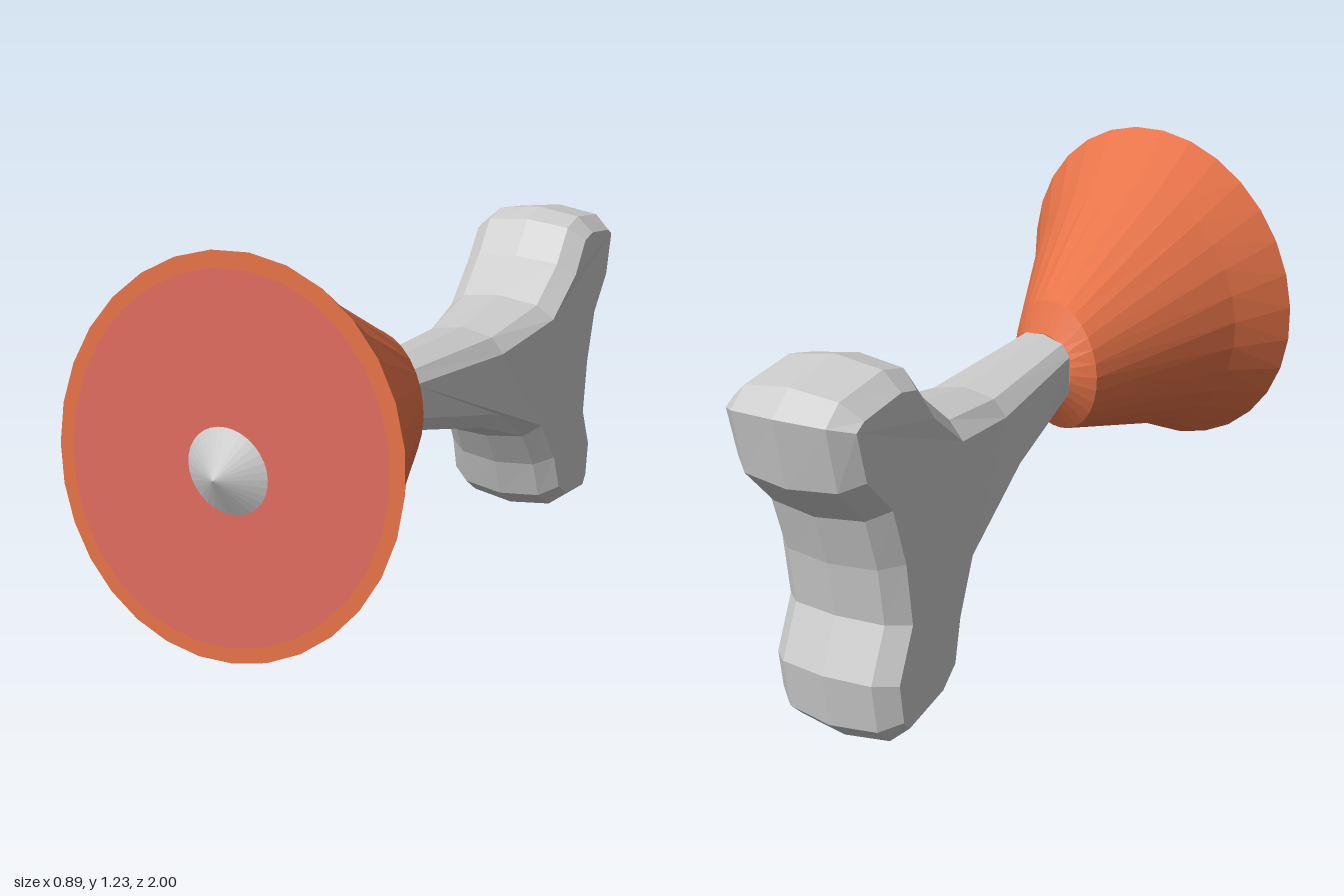
import * as THREE from 'three';

const mat = (color, side = THREE.FrontSide) =>
  new THREE.MeshStandardMaterial({ color, flatShading: true, side });

function geometryFrom(positions, index) {
  const g = new THREE.BufferGeometry();
  g.setAttribute('position', new THREE.Float32BufferAttribute(positions, 3));
  g.setIndex(index);
  const flat = g.toNonIndexed();
  flat.computeVertexNormals();
  return flat;
}

// Side outline of the bone as [z, y]: top of the shaft, rear, then back along the underside
const OUTLINE = [
  [0.28, 0.765], [-0.23, 0.725], [-0.48, 0.75], [-0.60, 0.84], [-0.68, 0.935],
  [-0.77, 0.955], [-0.94, 0.925], [-1.0, 0.87], [-0.965, 0.70], [-0.87, 0.60],
  [-0.83, 0.47], [-0.81, 0.33], [-0.87, 0.20], [-0.85, 0.06], [-0.79, 0.003],
  [-0.60, 0.035], [-0.515, 0.10], [-0.475, 0.22], [-0.41, 0.33], [-0.18, 0.435], [0.28, 0.59],
].map(([z, y]) => new THREE.Vector2(z, y));

// Half width of the bone along its length
function halfWidth(z) {
  const keys = [[-1, 0.175], [-0.58, 0.177], [-0.24, 0.127], [0.3, 0.088]];
  for (let i = 1; i < keys.length; i++) {
    const [z0, w0] = keys[i - 1], [z1, w1] = keys[i];
    if (z <= z1) return THREE.MathUtils.mapLinear(z, z0, z1, w0, w1);
  }
  return 0.088;
}

function inset(points, d) {
  const n = points.length;
  return points.map((p, i) => {
    const t = points[(i + 1) % n].clone().sub(p).normalize()
      .add(p.clone().sub(points[(i + n - 1) % n]).normalize()).normalize();
    return new THREE.Vector2(p.x - t.y * d, p.y + t.x * d);
  });
}

// Bevelled slab: inset outlines stacked from one flank to the other
function boneGeometry() {
  const layers = [[-1, 0.062], [-0.72, 0.018], [0, 0], [0.72, 0.018], [1, 0.062]];
  const n = OUTLINE.length, pos = [], idx = [];
  for (const [f, d] of layers)
    for (const p of inset(OUTLINE, d)) pos.push(0.013 + f * halfWidth(p.x), p.y, p.x);
  for (let k = 0; k < layers.length - 1; k++)
    for (let i = 0; i < n; i++) {
      const j = (i + 1) % n, a = k * n, b = a + n;
      idx.push(a + i, b + i, b + j, a + i, b + j, a + j);
    }
  const last = (layers.length - 1) * n;
  for (const [a, b, c] of THREE.ShapeUtils.triangulateShape(inset(OUTLINE, 0.062), []))
    idx.push(a, b, c, last + a, last + c, last + b);
  return geometryFrom(pos, idx);
}

// Skin over tilted elliptical rings: centre, sideways axis, upward axis
const SIDES = 30;
function ringLoft(rings) {
  const pos = [], idx = [];
  for (const [c, u, v] of rings)
    for (let i = 0; i < SIDES; i++) {
      const t = (i / SIDES) * Math.PI * 2, co = Math.cos(t), si = Math.sin(t);
      for (let k = 0; k < 3; k++) pos.push(c[k] + u[k] * co + v[k] * si);
    }
  for (let r = 0; r < rings.length - 1; r++)
    for (let i = 0; i < SIDES; i++) {
      const j = (i + 1) % SIDES, a = r * SIDES, b = a + SIDES;
      idx.push(a + i, a + j, b + j, a + i, b + j, b + i);
    }
  return geometryFrom(pos, idx);
}

export function createModel() {
  const group = new THREE.Group();
  const add = (name, geometry, material) => {
    const mesh = new THREE.Mesh(geometry, material);
    mesh.name = name;
    group.add(mesh);
    return mesh;
  };

  add('bone', boneGeometry(), mat(0xcccccc));

  // Flared cup around the end of the shaft, from its small end to the mouth rim
  const mouth = [[0, 0.745, 0.942], [0.443, 0.025, 0], [0.045, 0.488, 0]];
  const scaled = (s) => [mouth[0], mouth[1].map((k) => k * s), mouth[2].map((k) => k * s)];
  const orange = mat(0xe87449, THREE.DoubleSide);
  add('cup', ringLoft([
    scaled(0.92),
    mouth,
    [[0, 0.722, 0.745], [0.342, 0.015, 0], [0.02, 0.387, -0.02]],
    [[0, 0.657, 0.245], [0.157, 0, 0.05], [0, 0.19, -0.015]],
    [[0.01, 0.66, 0.195], [0.1, 0, 0.03], [0, 0.1, 0]],
    [[0.01, 0.66, 0.2], [0, 0, 0], [0, 0, 0]],
  ].reverse()), orange);

  // Flat face closing the mouth
  add('cupFace', ringLoft([scaled(0.92), scaled(0)]), mat(0xe26c60, THREE.DoubleSide));

  // Pointed stud in the middle of the face
  const stud = add('stud', new THREE.ConeGeometry(0.102, 0.058, 32), mat(0xcccccc));
  stud.rotation.x = Math.PI / 2;
  stud.position.set(0.013, 0.738, 0.971);

  return group;
}
